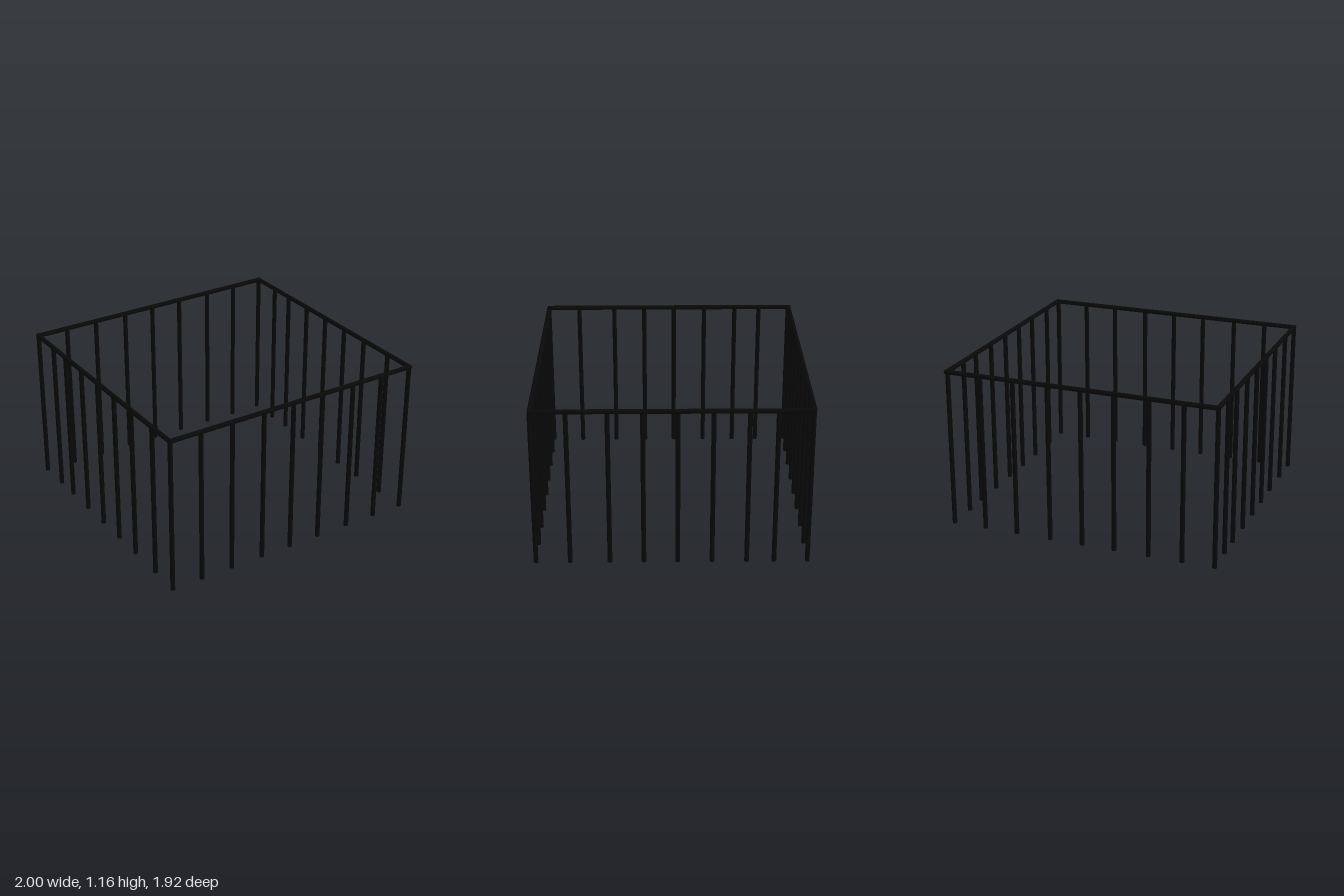
import * as THREE from 'three';

const RADIUS = 0.0165, RAIL_Y = 1.146;
const RAIL_X = 0.983, RAIL_Z = 0.941;

export function createModel() {
  const model = new THREE.Group();
  model.name = 'railing';
  const black = new THREE.MeshStandardMaterial({ color: 0x080808 });
  black.name = 'black metal';

  // Round bar centred on a point, along one axis
  function bar(name, length, x, y, z, axis = 'y') {
    const geometry = new THREE.CylinderGeometry(RADIUS, RADIUS, length, 16);
    if (axis === 'x') geometry.rotateZ(Math.PI / 2);
    if (axis === 'z') geometry.rotateX(Math.PI / 2);
    const mesh = new THREE.Mesh(geometry, black);
    mesh.name = name;
    mesh.position.set(x, y, z);
    model.add(mesh);
  }
  const post = (name, x, z) => bar(name, RAIL_Y, x, RAIL_Y / 2, z);

  // Top rails
  bar('frontRail', 2 * RAIL_X - 0.01, 0, RAIL_Y, RAIL_Z, 'x');
  bar('backRail', 2 * RAIL_X - 0.01, 0, RAIL_Y, -RAIL_Z, 'x');
  bar('leftRail', 2 * RAIL_Z + 0.02, RAIL_X, RAIL_Y, 0, 'z');
  bar('rightRail', 2 * RAIL_Z + 0.02, -RAIL_X, RAIL_Y, 0, 'z');

  // Corner posts
  for (const x of [-0.983, 0.977]) {
    for (const z of [-0.937, 0.943]) post('cornerPost', x, z);
  }

  // Posts between the corners, unevenly spaced
  for (const x of [-0.75, -0.507, -0.255, -0.016, 0.226, 0.484, 0.73]) {
    post('frontPost', x, 0.942);
    post('backPost', x, -0.936);
  }
  for (const z of [-0.706, -0.516, -0.276, -0.038, 0.196, 0.431, 0.706]) {
    post('leftPost', 0.976, z);
    post('rightPost', -0.979, z);
  }
  return model;
}
